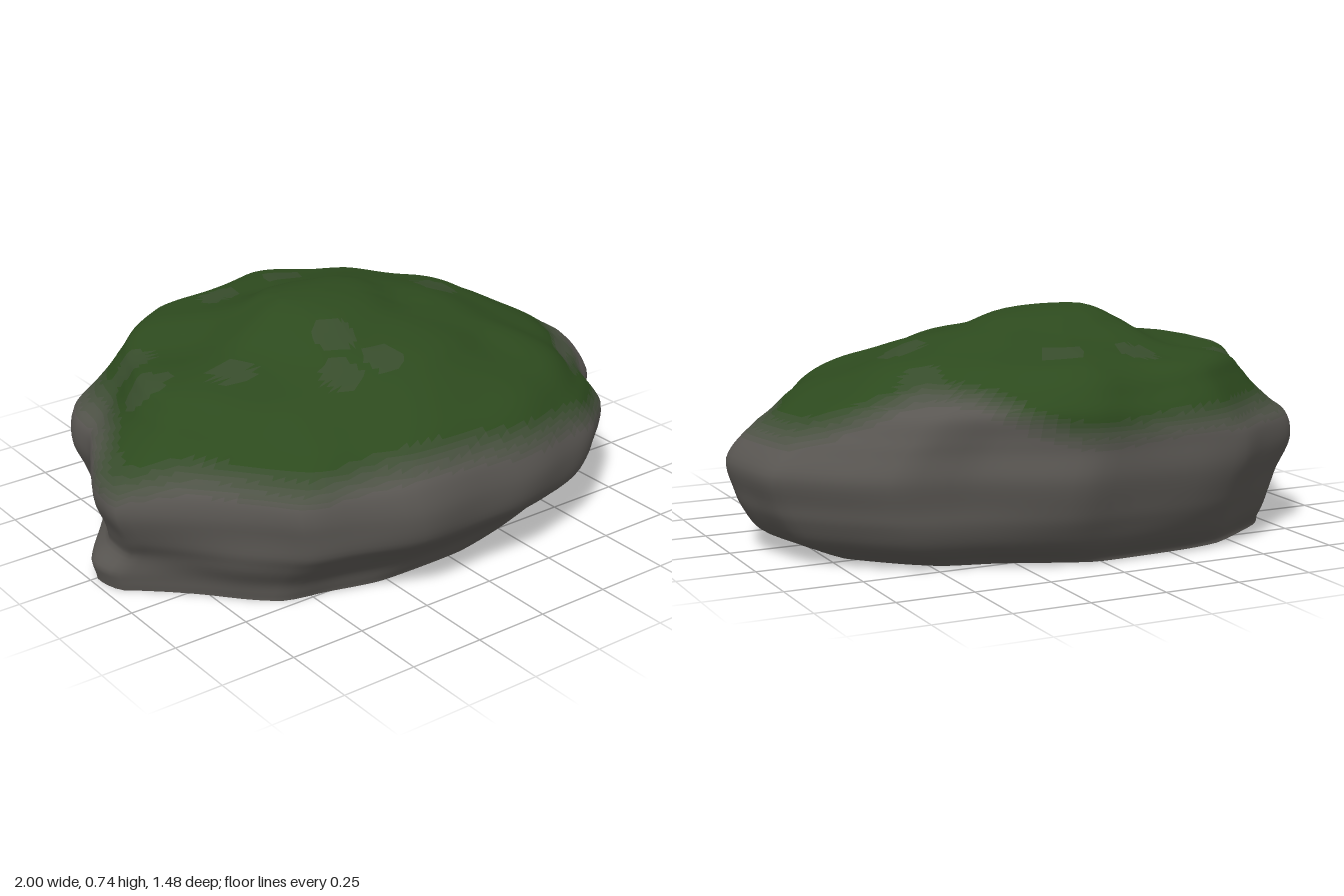
import * as THREE from 'three';

const SEGMENTS = 128;
const RINGS = 64;
const { smoothstep, clamp, lerp } = THREE.MathUtils;

// Widest outline of the boulder seen from above: x, z
const OUTLINE = [
  [-1, 0.04], [-0.95, -0.06], [-0.85, -0.23], [-0.83, -0.36], [-0.76, -0.48], [-0.59, -0.61],
  [-0.46, -0.7], [-0.3, -0.73], [0.06, -0.745], [0.14, -0.73], [0.3, -0.65], [0.44, -0.58],
  [0.64, -0.53], [0.75, -0.45], [0.86, -0.34], [0.94, -0.25], [0.97, -0.12], [1, 0.04],
  [0.92, 0.2], [0.81, 0.31], [0.75, 0.43], [0.58, 0.59], [0.45, 0.66], [0.14, 0.735],
  [-0.24, 0.73], [-0.45, 0.65], [-0.6, 0.6], [-0.77, 0.4], [-0.95, 0.22], [-1, 0.17],
];

// Reach of each level: y, x min, x max, z min, z max
const LEVELS = [
  [0, -0.89, 0.75, -0.6, 0.55],
  [0.02, -0.895, 0.8, -0.61, 0.56],
  [0.07, -0.91, 0.9, -0.66, 0.59],
  [0.14, -0.935, 0.955, -0.7, 0.66],
  [0.2, -0.96, 0.98, -0.72, 0.72],
  [0.29, -1, 1, -0.74, 0.735],
  [0.37, -0.98, 0.94, -0.735, 0.715],
  [0.42, -0.9, 0.87, -0.73, 0.68],
  [0.48, -0.82, 0.79, -0.7, 0.62],
  [0.53, -0.77, 0.69, -0.65, 0.53],
  [0.58, -0.7, 0.58, -0.6, 0.43],
  [0.62, -0.46, 0.45, -0.53, 0.34],
  [0.67, -0.35, 0.25, -0.33, 0.18],
  [0.715, -0.26, 0.12, -0.24, 0.07],
  [0.735, -0.2, -0.05, -0.14, -0.04],
];

// Worn patches in the moss: x, z
const WORN = [
  [-0.72, -0.08], [-0.65, -0.28], [-0.2, -0.46], [0.06, -0.46], [-0.16, 0.15], [-0.24, 0.3],
  [-0.08, 0.3], [0.45, -0.1], [0.5, -0.36], [-0.5, 0.08],
];

// Smooth curve through one column of the level table
const column = (c) => {
  const curve = new THREE.SplineCurve(LEVELS.map((row, i) => new THREE.Vector2(i, row[c])));
  return (t) => curve.getPoint(t).y;
};

// Soft lumps over the surface
const lumps = (x, y, z) =>
  Math.sin(7 * x + 3 * z + 5 * y) * Math.sin(8 * z - 4 * x + 1) +
  0.6 * Math.sin(15 * x - 6 * y) * Math.sin(13 * z + 9 * y + 2);

const bump = (x, z, cx, cz, r) => Math.exp(-((x - cx) ** 2 + (z - cz) ** 2) / (r * r));

// Moss cover from 0 (bare stone) to 1
function mossCover(x, y, z) {
  const line = 0.42 + 0.13 * bump(x, z, 0.5, -0.6, 0.3) - 0.1 * bump(x, z, 0.68, 0.42, 0.25)
    - 0.07 * bump(x, z, -0.95, 0.1, 0.2) + 0.02 * Math.sin(6 * x + 4 * z);
  const bare = Math.exp(-(((x - 0.74) / 0.18) ** 2 + ((y - 0.44) / 0.04) ** 2 + ((z - 0.36) / 0.22) ** 2));
  const worn = WORN.reduce((most, [cx, cz]) => Math.max(most, bump(x, z, cx, cz, 0.07)), 0);
  return clamp((y - line - 0.13 * bare) / 0.1 + 0.5, 0, 1) - 0.22 * worn;
}

// Scale the outline to every level, then add the shoulder, corner, foot and roughness
function buildSurface() {
  const outline = new THREE.CatmullRomCurve3(
    OUTLINE.map(([x, z]) => new THREE.Vector3(x, 0, z / 0.74)), true, 'catmullrom', 0.3
  ).getSpacedPoints(SEGMENTS).slice(0, SEGMENTS);
  const [yAt, x0, x1, z0, z1] = [0, 1, 2, 3, 4].map(column);
  const points = [];
  for (let j = 0; j <= RINGS; j++) {
    const t = j / RINGS;
    const y = yAt(t);
    const midX = (x0(t) + x1(t)) / 2, halfX = (x1(t) - x0(t)) / 2;
    const midZ = (z0(t) + z1(t)) / 2, halfZ = (z1(t) - z0(t)) / 2;
    // The notches of the outline soften away from the widest level
    const rounding = 0.45 * smoothstep(y, 0.32, 0.55) + 0.2 * (1 - smoothstep(y, 0.05, 0.25));
    // Steep shoulder high on the back
    const shoulder = 0.09 * smoothstep(y, 0.4, 0.56) * (1 - smoothstep(y, 0.6, 0.7));
    // Upright corner low on the front right
    const upright = 0.06 * (1 - smoothstep(y, 0.1, 0.28));
    // Low foot jutting out on the right end
    const foot = 0.085 * (1 - smoothstep(y, 0.05, 0.14));
    for (const p of outline) {
      const radius = p.length();
      const dirX = p.x / radius, dirZ = p.z / radius;
      const swell = lerp(radius, 1, rounding) / radius
        + shoulder * bump(dirX, dirZ, 0.4, -0.92, 0.5)
        + upright * bump(dirX, dirZ, -0.7, 0.71, 0.4);
      const x = midX + p.x * halfX * swell, z = midZ + p.z * halfZ * swell;
      const n = lumps(x, y, z);
      const rough = 1 + 0.01 * n * Math.min(1, y * 8);
      const rise = 0.014 * n * smoothstep(y, 0.35, 0.6) * (1 - t ** 6);
      const jut = foot * bump(0, z, 0, 0, 0.2) * smoothstep(-x, 0.4, 0.85);
      points.push(x * rough - jut, y + rise, z * rough);
    }
  }
  points.push(-0.13, 0.737, -0.09);
  const index = [];
  for (let i = 0; i < SEGMENTS; i++) {
    const k = (i + 1) % SEGMENTS;
    for (let j = 0; j < RINGS; j++) {
      const a = j * SEGMENTS + i, b = j * SEGMENTS + k;
      const c = a + SEGMENTS, d = b + SEGMENTS;
      index.push(a, c, b, b, c, d);
    }
    index.push((RINGS + 1) * SEGMENTS, RINGS * SEGMENTS + k, RINGS * SEGMENTS + i);
  }
  const geometry = new THREE.BufferGeometry();
  geometry.setAttribute('position', new THREE.Float32BufferAttribute(points, 3));
  geometry.setIndex(index);
  geometry.computeVertexNormals();
  return geometry;
}

export function createModel() {
  const group = new THREE.Group();
  group.name = 'mossyBoulder';
  const stone = new THREE.Color(0x595652);
  const moss = new THREE.Color(0x2d4a1e);
  const add = (name, geometry, blend) => {
    const material = new THREE.MeshStandardMaterial({ color: stone.clone().lerp(moss, blend) });
    const mesh = new THREE.Mesh(geometry, material);
    mesh.name = name;
    group.add(mesh);
  };

  // Share the surface between stone, moss and thin bands that fade between them
  const surface = buildSurface();
  const position = surface.attributes.position;
  const names = ['stoneBody', 'mossFringeThin', 'mossFringeLight', 'mossFringe',
    'mossFringeDense', 'mossFringeFull', 'mossCap'];
  const last = names.length - 1;
  const bands = names.map(() => []);
  const source = surface.index.array;
  for (let i = 0; i < source.length; i += 3) {
    const corners = [source[i], source[i + 1], source[i + 2]];
    const mean = (get) => corners.reduce((sum, v) => sum + position[get](v), 0) / 3;
    const cover = mossCover(mean('getX'), mean('getY'), mean('getZ'));
    bands[clamp(Math.round(cover * last), 0, last)].push(...corners);
  }
  bands.forEach((index, b) => {
    const geometry = new THREE.BufferGeometry();
    geometry.setAttribute('position', position);
    geometry.setAttribute('normal', surface.attributes.normal);
    geometry.setIndex(index);
    add(names[b], geometry, b / last);
  });

  // Flat underside
  const base = [];
  const corner = (i) => [position.getX(i % SEGMENTS), 0, position.getZ(i % SEGMENTS)];
  for (let i = 0; i < SEGMENTS; i++) base.push(-0.1, 0, 0, ...corner(i), ...corner(i + 1));
  const underside = new THREE.BufferGeometry();
  underside.setAttribute('position', new THREE.Float32BufferAttribute(base, 3));
  underside.computeVertexNormals();
  add('underside', underside, 0);

  return group;
}
